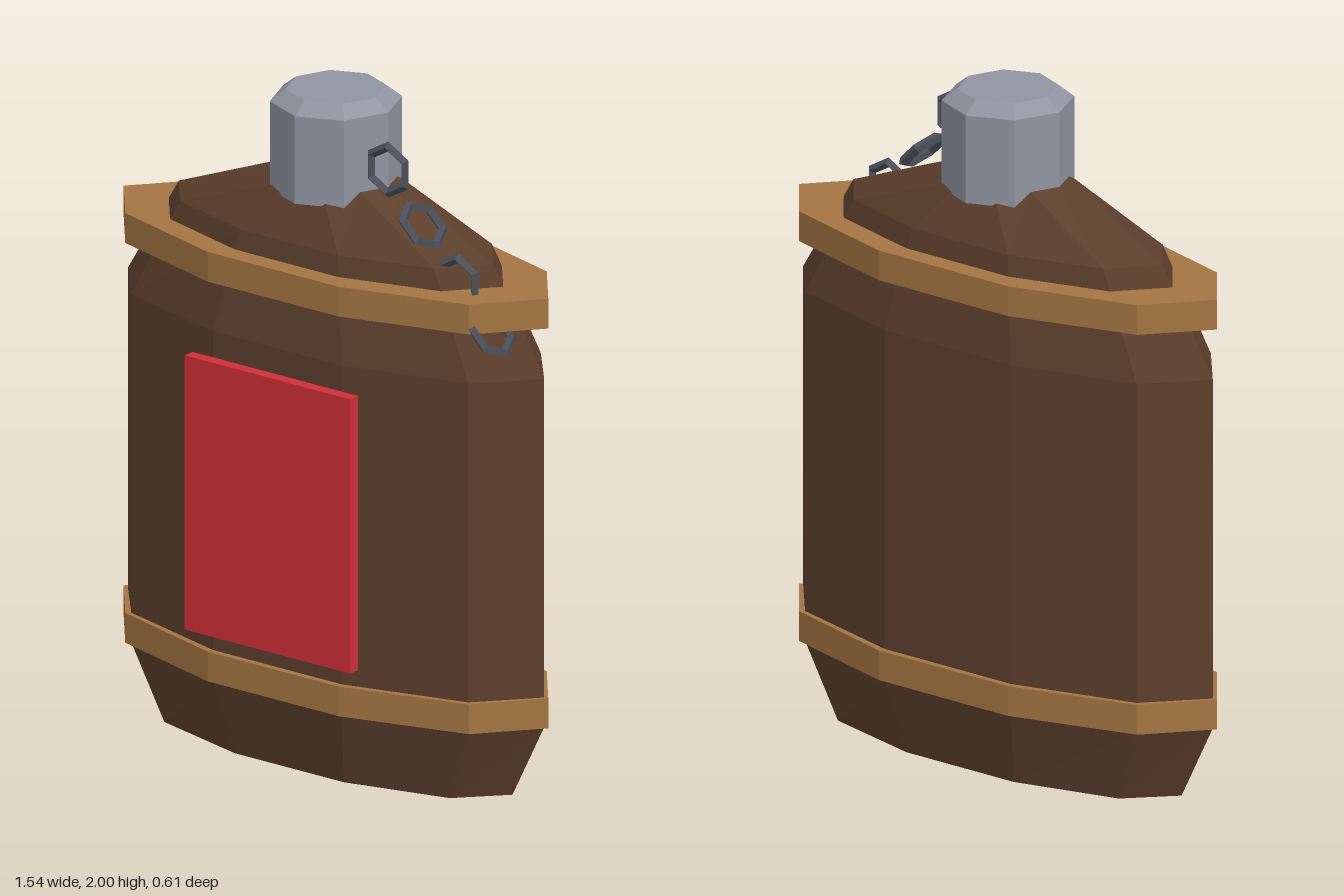
import * as THREE from 'three';

const mat = (name, color) => {
  const m = new THREE.MeshStandardMaterial({ color });
  m.name = name;
  return m;
};

// Faceted copy of a geometry: every face gets its own normal
function facet(geometry) {
  const g = geometry.index ? geometry.toNonIndexed() : geometry;
  g.computeVertexNormals();
  return g;
}

// Stack of ten-sided oval sections, listed top to bottom as [y, halfWidth, depthRadius]
function ovalStack(sections) {
  const n = sections.length - 1;
  const g = new THREE.CylinderGeometry(1, 1, 1, 10, n, false, Math.PI / 2);
  const p = g.attributes.position;
  for (let i = 0; i < p.count; i++) {
    const [y, rx, rz] = sections[Math.round((0.5 - p.getY(i)) * n)];
    p.setXYZ(i, p.getX(i) * rx, y, p.getZ(i) * rz);
  }
  return facet(g);
}

export function createModel() {
  const leather = mat('brown leather', 0x5c3f2d);
  const strap = mat('tan strap', 0xa37541);
  const red = mat('red label', 0xcf2e37);
  const metal = mat('grey metal', 0x8f95a1);
  const iron = mat('dark iron', 0x4b505a);

  const flask = new THREE.Group();
  flask.name = 'flask';
  const add = (name, geometry, material, x = 0, y = 0, z = 0) => {
    const mesh = new THREE.Mesh(geometry, material);
    mesh.name = name;
    mesh.position.set(x, y, z);
    flask.add(mesh);
    return mesh;
  };
  const midZ = -0.013;

  // Body with sloped shoulders and tapered foot
  add('body', ovalStack([
    [1.74, 0.19, 0.147],
    [1.59, 0.57, 0.226],
    [1.285, 0.755, 0.284],
    [0.23, 0.755, 0.284],
    [0, 0.64, 0.226],
  ]), leather, 0, 0, midZ);

  // Straps around the foot and shoulder
  for (const [name, y] of [['lowerStrap', 0.23], ['upperStrap', 1.44]]) {
    add(name, ovalStack([[y + 0.09, 0.77, 0.305], [y, 0.77, 0.305]]), strap, 0, 0, midZ);
  }

  // Front label
  add('label', new THREE.BoxGeometry(0.6, 0.83, 0.037), red, 0, 0.795, 0.284);

  // Eight-sided cap with a bevelled top
  const profile = [[0, 1.7], [0.19, 1.7], [0.19, 1.965], [0.145, 2], [0, 2]];
  add('cap', facet(new THREE.LatheGeometry(profile.map(([x, y]) => new THREE.Vector2(x, y)), 8)),
    metal, 0, 0, midZ);

  // Chain of six-sided links, alternately upright and turned across
  const link = facet(new THREE.TorusGeometry(0.07, 0.015, 4, 6));
  [
    [0.255, 1.83, 0.07],
    [0.388, 1.695, 0.08],
    [0.52, 1.555, 0.085],
    [0.647, 1.43, 0.093],
  ].forEach(([x, y, z], i) => {
    const mesh = add('chainLink' + (i + 1), link, iron, x, y, z);
    if (i % 2) mesh.rotation.set(Math.PI / 2, 0, -Math.PI / 4, 'ZYX');
    else mesh.rotation.z = Math.PI / 2;
  });

  return flask;
}
